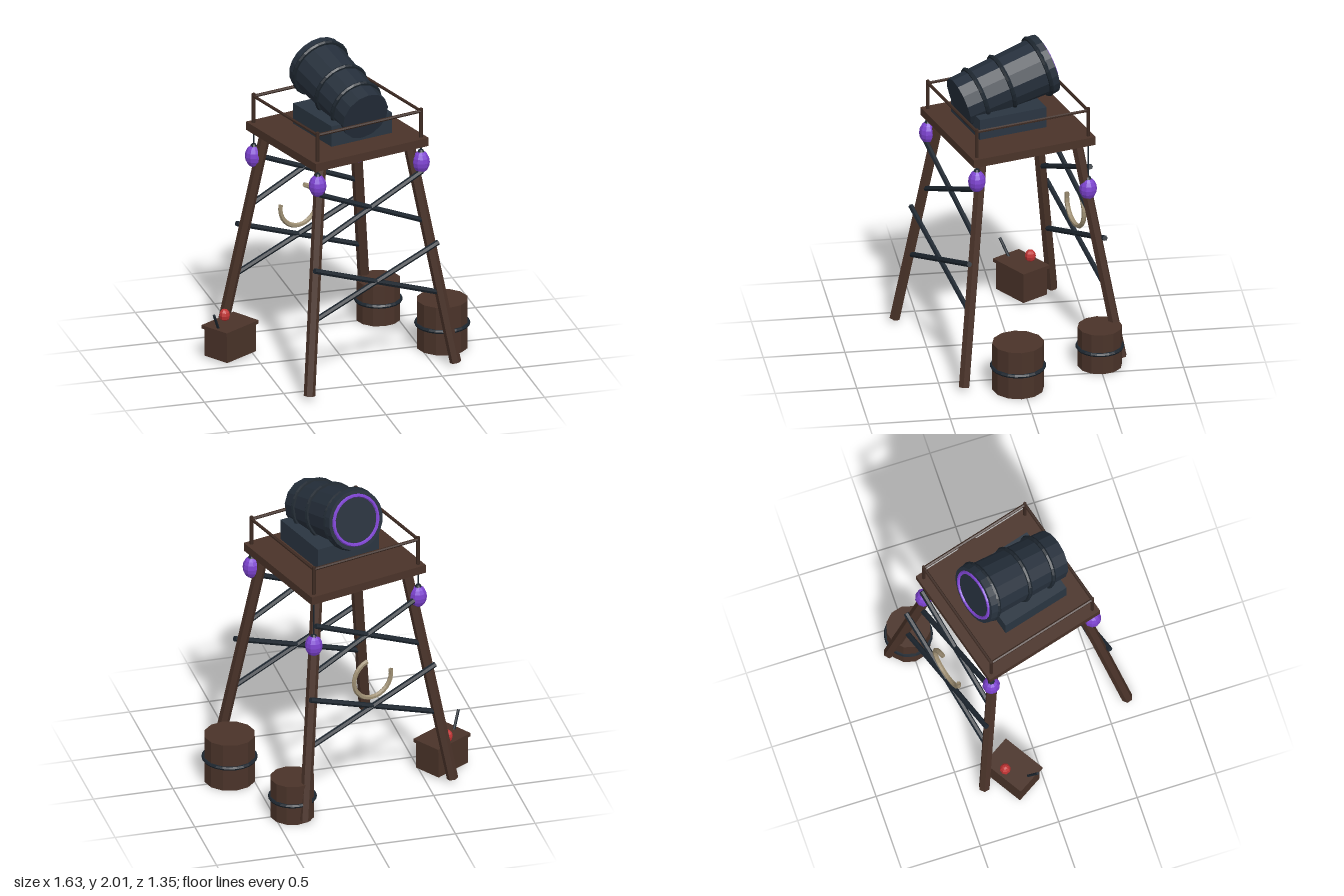
import * as THREE from 'three';

const mat = (name, color, side = THREE.FrontSide) => {
  const m = new THREE.MeshStandardMaterial({ color, flatShading: true, side });
  m.name = name;
  return m;
};

export function createModel() {
  const wood = mat('wood', 0x4a3329);
  const darkWood = mat('dark wood', 0x3d2a22);
  const iron = mat('dark iron', 0x1d262f);
  const gunMetal = mat('gun metal', 0x252f3b);
  const mountMetal = mat('mount metal', 0x2a3541);
  const purple = mat('purple glow', 0x7d43d0);
  const red = mat('red', 0xc03434);
  const bone = mat('bone', 0x9f9074, THREE.DoubleSide);

  const model = new THREE.Group();
  const V = (x, y, z) => new THREE.Vector3(x, y, z);
  const add = (parent, name, geo, material, x = 0, y = 0, z = 0) => {
    const m = new THREE.Mesh(geo, material);
    m.name = name;
    m.position.set(x, y, z);
    parent.add(m);
    return m;
  };
  // Round bar between two points
  const bar = (parent, name, a, b, r, material, sides = 6) => {
    const d = b.clone().sub(a);
    const mid = a.clone().add(b).multiplyScalar(0.5);
    const m = add(parent, name, new THREE.CylinderGeometry(r, r, d.length(), sides), material, mid.x, mid.y, mid.z);
    m.quaternion.setFromUnitVectors(V(0, 1, 0), d.normalize());
    return m;
  };

  // Tower, turned about the vertical axis
  const tower = new THREE.Group();
  tower.name = 'tower';
  tower.position.x = -0.016;
  tower.rotation.y = 0.271;
  model.add(tower);

  add(tower, 'platform', new THREE.BoxGeometry(0.804, 0.053, 0.804), wood, 0, 1.448, 0);

  // Legs, railing posts and hanging lanterns at each corner
  const corners = [[-1, 1, 1.315], [1, 1, 1.315], [1, -1, 1.12], [-1, -1, 1.255]];
  const P = 0.368;
  corners.forEach(([sx, sz, ly], i) => {
    bar(tower, 'leg', V(sx * 0.52, 0.025, sz * 0.52), V(sx * 0.314, 1.425, sz * 0.314), 0.035, wood);
    bar(tower, 'railingPost', V(sx * P, 1.47, sz * P), V(sx * P, 1.663, sz * P), 0.012, darkWood);
    const [nx, nz] = corners[(i + 1) % 4];
    bar(tower, 'rail', V(sx * P, 1.645, sz * P), V(nx * P, 1.645, nz * P), 0.01, darkWood);

    bar(tower, 'lanternCord', V(sx * P, ly + 0.06, sz * P), V(sx * P, 1.43, sz * P), 0.005, iron);
    add(tower, 'lanternCap', new THREE.CylinderGeometry(0.014, 0.024, 0.018, 8), iron, sx * P, ly + 0.07, sz * P);
    add(tower, 'lantern', new THREE.SphereGeometry(0.054, 10, 8), purple, sx * P, ly, sz * P).scale.y = 1.32;
  });

  // Crossed braces on the front and back
  for (const s of [-1, 1]) {
    for (const [h, c, y0, y1] of [[0.44, 0.449, 0.475, 0.8], [0.365, 0.385, 0.94, 1.26]]) {
      bar(tower, 'brace', V(-h, y0, s * c), V(h, y1, s * c), 0.017, iron);
      bar(tower, 'brace', V(-h, y1, s * c), V(h, y0, s * c), 0.017, iron);
    }
  }

  // Curved hook on the back
  const hook = add(tower, 'hook', new THREE.TorusGeometry(0.13, 0.015, 6, 20, 4.6), bone, 0, 0.828, -0.446);
  hook.rotation.z = 2.95;

  // Cannon mount
  add(tower, 'cannonMount', new THREE.BoxGeometry(0.43, 0.133, 0.442), mountMetal, 0, 1.572, 0.06);

  // Cannon: its own +y runs from breech to muzzle
  const cannon = new THREE.Group();
  cannon.name = 'cannon';
  const breech = V(0, 1.673, 0.325);
  const muzzle = V(0, 1.825, -0.25);
  const axis = muzzle.clone().sub(breech);
  const L = axis.length();
  cannon.position.copy(breech);
  cannon.quaternion.setFromUnitVectors(V(0, 1, 0), axis.normalize());
  tower.add(cannon);
  add(cannon, 'barrel', new THREE.CylinderGeometry(0.178, 0.158, L - 0.02, 14), gunMetal, 0, L / 2 - 0.01, 0);
  add(cannon, 'muzzleLip', new THREE.CylinderGeometry(0.187, 0.193, 0.055, 20), gunMetal, 0, L - 0.0275, 0);
  const ring = (name, r, tube, y, material) => {
    add(cannon, name, new THREE.TorusGeometry(r, tube, 6, 24), material, 0, y, 0).rotation.x = Math.PI / 2;
  };
  ring('barrelBand', 0.165, 0.014, 0.115, iron);
  ring('barrelBand', 0.171, 0.014, 0.295, iron);
  ring('muzzleBand', 0.184, 0.014, L - 0.055, iron);
  ring('muzzleGlow', 0.153, 0.011, L, purple);

  // Banded casks beside the tower
  for (const [x, z, r, h] of [[0.636, 0.033, 0.158, 0.31], [0.388, -0.503, 0.136, 0.26]]) {
    add(model, 'cask', new THREE.CylinderGeometry(r, r, h, 12), wood, x, h / 2, z);
    const hoop = add(model, 'caskHoop', new THREE.TorusGeometry(r, 0.013, 6, 24), iron, x, h / 2, z);
    hoop.rotation.x = Math.PI / 2;
  }

  // Control crate with lid, button and lever
  const crate = new THREE.Group();
  crate.name = 'crate';
  crate.position.set(-0.642, 0, -0.172);
  crate.rotation.y = 0.555;
  model.add(crate);
  add(crate, 'crateBody', new THREE.BoxGeometry(0.26, 0.18, 0.185), wood, 0, 0.106, 0);
  add(crate, 'crateLid', new THREE.BoxGeometry(0.29, 0.022, 0.205), wood, 0, 0.206, 0);
  add(model, 'button', new THREE.SphereGeometry(0.034, 8, 6), red, -0.66, 0.245, -0.23).scale.y = 1.2;
  bar(model, 'lever', V(-0.733, 0.21, -0.11), V(-0.776, 0.322, -0.06), 0.009, iron);

  return model;
}
